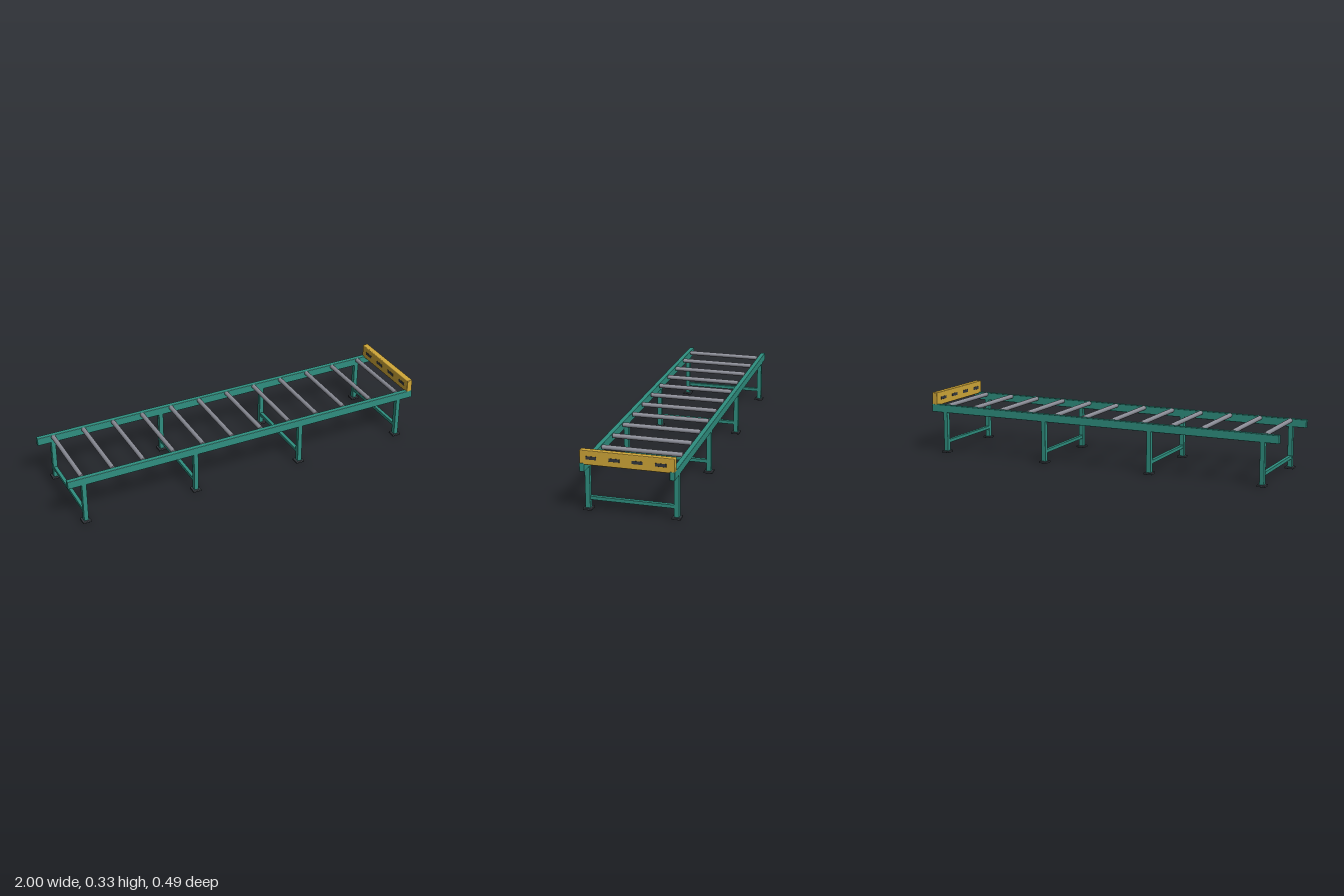
import * as THREE from 'three';
import { RoundedBoxGeometry } from 'three/addons/geometries/RoundedBoxGeometry.js';

const paint = (name, color) => {
  const m = new THREE.MeshStandardMaterial({ color });
  m.name = name;
  return m;
};

export function createModel() {
  const teal = paint('teal paint', 0x2f8f80);
  const yellow = paint('yellow paint', 0xd0a738);
  const steel = paint('roller steel', 0x8a8c96);
  const dark = paint('dark rubber', 0x34383e);

  const model = new THREE.Group();
  model.name = 'rollerConveyor';

  // Slightly rounded box given by its limits on each axis
  const box = (name, mat, [x0, x1], [y0, y1], [z0, z1], r = 0.002) => {
    const geo = new RoundedBoxGeometry(x1 - x0, y1 - y0, z1 - z0, 2, r);
    const mesh = new THREE.Mesh(geo, mat);
    mesh.name = name;
    mesh.position.set((x0 + x1) / 2, (y0 + y1) / 2, (z0 + z1) / 2);
    model.add(mesh);
  };
  const around = (c, size) => [c - size / 2, c + size / 2];

  // Side rails
  const railZ = 0.22;
  for (const s of [-1, 1]) {
    box('sideRail', teal, [-1, 1], [0.223, 0.265], around(s * railZ, 0.025));
  }

  // Four leg frames: two legs with feet, joined by a low brace
  for (const x of [-0.915, -0.305, 0.305, 0.915]) {
    for (const s of [-1, 1]) {
      box('leg', teal, around(x, 0.024), [0.008, 0.226], around(s * railZ, 0.0248), 0.001);
      box('foot', dark, around(x, 0.046), [0, 0.01], around(s * railZ, 0.046));
    }
    box('crossBrace', teal, around(x, 0.019), [0.052, 0.07], [-0.21, 0.21], 0.001);
  }

  // Rollers on thin axles
  const rollerGeo = new THREE.CylinderGeometry(0.012, 0.012, 0.406, 24).rotateX(Math.PI / 2);
  const axleGeo = new THREE.CylinderGeometry(0.004, 0.004, 0.42, 12).rotateX(Math.PI / 2);
  for (let i = 0; i < 12; i++) {
    const x = -0.915 + (i * 1.83) / 11;
    for (const [name, geo] of [['roller', rollerGeo], ['axle', axleGeo]]) {
      const mesh = new THREE.Mesh(geo, steel);
      mesh.name = name;
      mesh.position.set(x, 0.257, 0);
      model.add(mesh);
    }
  }

  // End stop with dark slots on both faces
  box('endStop', yellow, [0.967, 0.998], [0.258, 0.33], [-0.232, 0.232], 0.004);
  for (let i = 0; i < 4; i++) {
    const z = 0.174 - i * 0.113;
    for (const x of [0.967, 0.998]) {
      box('stopSlot', dark, around(x, 0.003), [0.286, 0.302], around(z, 0.053), 0.0005);
    }
  }

  return model;
}
